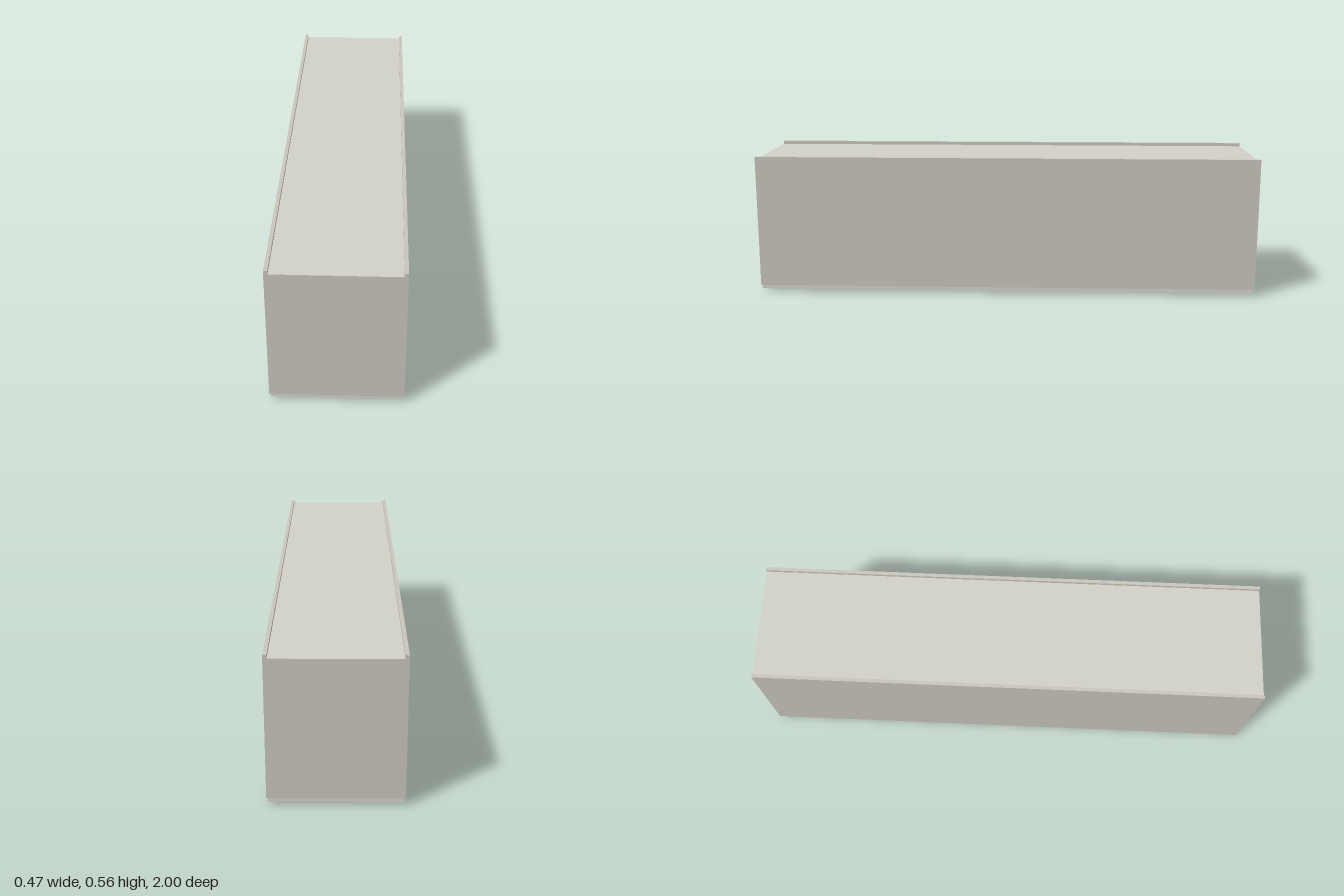
import * as THREE from 'three';

const mat = (color) => new THREE.MeshStandardMaterial({ color });
const shellMat = mat(0xcbc6be);
const lidMat = mat(0xd2d1ca);
const baseMat = mat(0xd8d5cf);
const handleMat = mat(0x85858b);

// Box given by its size, bottom height and centre in x and z
function box(name, material, w, h, d, bottom, x = 0, z = 0) {
  const mesh = new THREE.Mesh(new THREE.BoxGeometry(w, h, d), material);
  mesh.name = name;
  mesh.position.set(x, bottom + h / 2, z);
  return mesh;
}

export function createModel() {
  const group = new THREE.Group();
  group.name = 'longCabinet';

  // Main housing with a thin top panel between the rails
  group.add(box('housing', shellMat, 0.474, 0.513, 2, 0.028));
  group.add(box('topPanel', lidMat, 0.446, 0.002, 2, 0.541));

  // Raised rails along both top edges
  for (const side of [-1, 1]) {
    const name = side > 0 ? 'leftRail' : 'rightRail';
    group.add(box(name, shellMat, 0.014, 0.015, 2, 0.541, side * 0.23));
  }

  // Slightly inset base panel
  group.add(box('basePanel', baseMat, 0.464, 0.016, 1.99, 0.012));

  // Small pull under the front end
  group.add(box('pullHandle', handleMat, 0.092, 0.012, 0.012, 0, 0, 0.93));

  return group;
}
